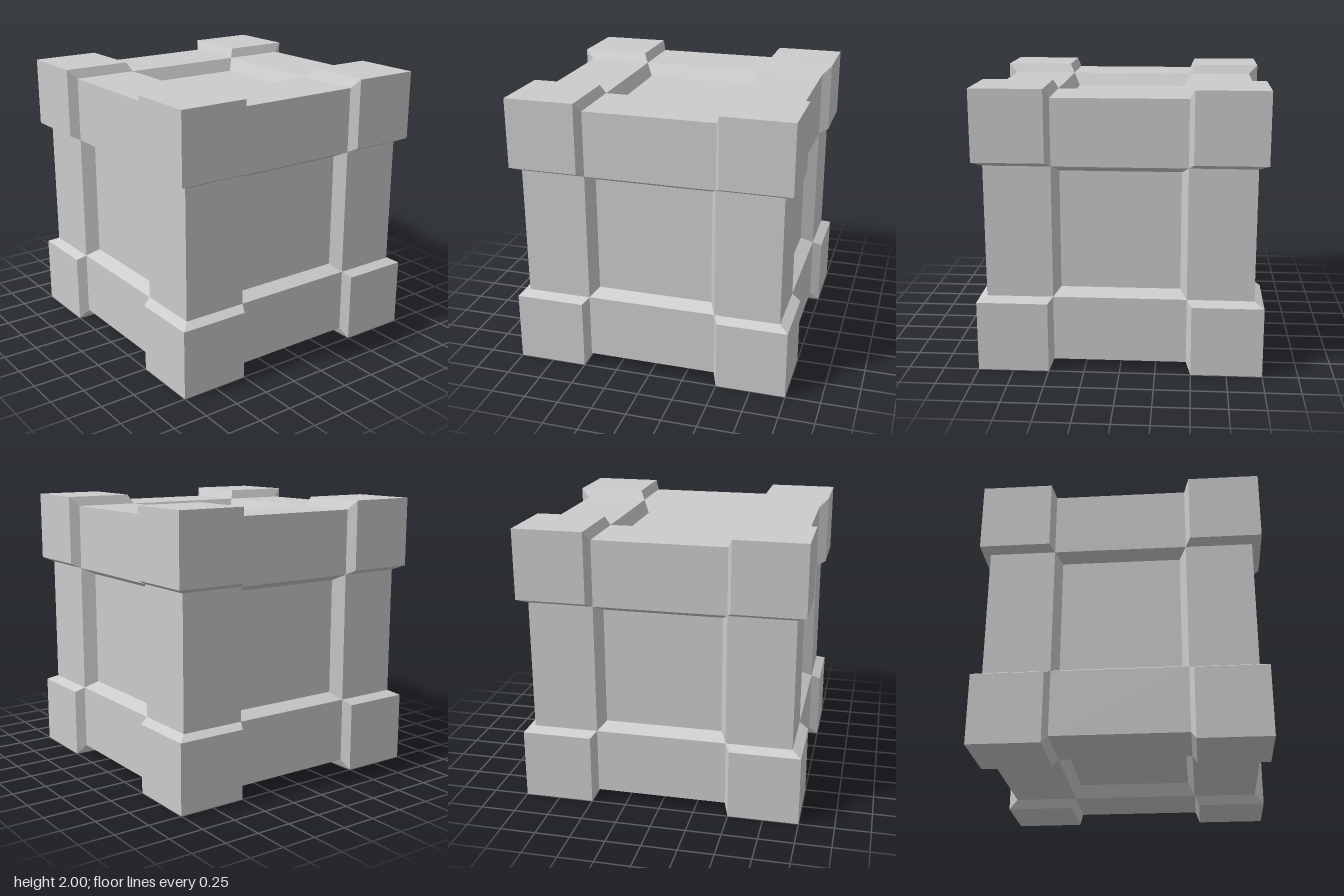
import * as THREE from 'three';

// Each level is a smaller copy of the one above: corner blocks, rails, sunken panels
const OUT = 1, OUT_IN = 0.5;
const RAIL = 0.9333, RAIL_IN = 0.4667;
const PANEL = 0.84, PANEL_IN = 0.42;

const material = new THREE.MeshStandardMaterial({ color: 0xcccccc, flatShading: true });

// Flat-shaded geometry from quads with counter-clockwise corners
function quadGeometry(quads) {
  const points = quads.flatMap(([a, b, c, d]) => [a, b, c, a, c, d]).flat();
  const geometry = new THREE.BufferGeometry();
  geometry.setAttribute('position', new THREE.Float32BufferAttribute(points, 3));
  geometry.computeVertexNormals();
  return geometry;
}

// Corner block: three outer faces, each with two bevels running down to the rails
function cornerGeometry() {
  const a = OUT_IN, h = OUT, b = RAIL_IN, k = RAIL;
  const face = [
    [[a, a, h], [h, a, h], [h, h, h], [a, h, h]],
    [[b, b, k], [a, a, h], [a, h, h], [b, k, k]],
    [[b, b, k], [k, b, k], [h, a, h], [a, a, h]],
  ];
  const turn = (quads) => quads.map((q) => q.map(([x, y, z]) => [z, x, y]));
  return quadGeometry([...face, ...turn(face), ...turn(turn(face))]);
}

// Rail along x: two outer faces and the bevels down to the two panels beside it
function railGeometry() {
  const b = RAIL_IN, k = RAIL, c = PANEL_IN, d = PANEL;
  return quadGeometry([
    [[-b, b, k], [b, b, k], [b, k, k], [-b, k, k]],
    [[-b, k, k], [b, k, k], [b, k, b], [-b, k, b]],
    [[-c, c, d], [c, c, d], [b, b, k], [-b, b, k]],
    [[-b, k, b], [b, k, b], [c, d, c], [-c, d, c]],
  ]);
}

export function createModel() {
  const model = new THREE.Group();
  model.name = 'crate';
  const quarter = Math.PI / 2;

  const add = (parent, name, geometry, rx = 0, ry = 0) => {
    const mesh = new THREE.Mesh(geometry, material);
    mesh.name = name;
    mesh.rotation.set(rx, ry, 0, 'YXZ');
    mesh.position.y = parent === model ? 1 : 0;
    parent.add(mesh);
  };

  // Eight corner blocks
  const corner = cornerGeometry();
  for (let i = 0; i < 4; i++) {
    add(model, 'upperCornerBlock', corner, 0, i * quarter);
    add(model, 'lowerCornerBlock', corner, Math.PI, i * quarter);
  }

  // Twelve edge rails, four along each axis
  const rail = railGeometry();
  const directions = [
    ['widthRails', 0, 0],
    ['depthRails', quarter, 0],
    ['heightRails', 0, quarter],
  ];
  for (const [name, ry, rz] of directions) {
    const rails = new THREE.Group();
    rails.name = name;
    rails.rotation.set(0, ry, rz);
    rails.position.y = 1;
    for (let i = 0; i < 4; i++) add(rails, 'edgeRail', rail, i * quarter);
    model.add(rails);
  }

  // Six sunken panels
  const panel = new THREE.PlaneGeometry(2 * PANEL_IN, 2 * PANEL_IN).translate(0, 0, PANEL);
  ['frontPanel', 'leftPanel', 'backPanel', 'rightPanel'].forEach((name, i) => add(model, name, panel, 0, i * quarter));
  add(model, 'topPanel', panel, -quarter);
  add(model, 'bottomPanel', panel, quarter);

  return model;
}
